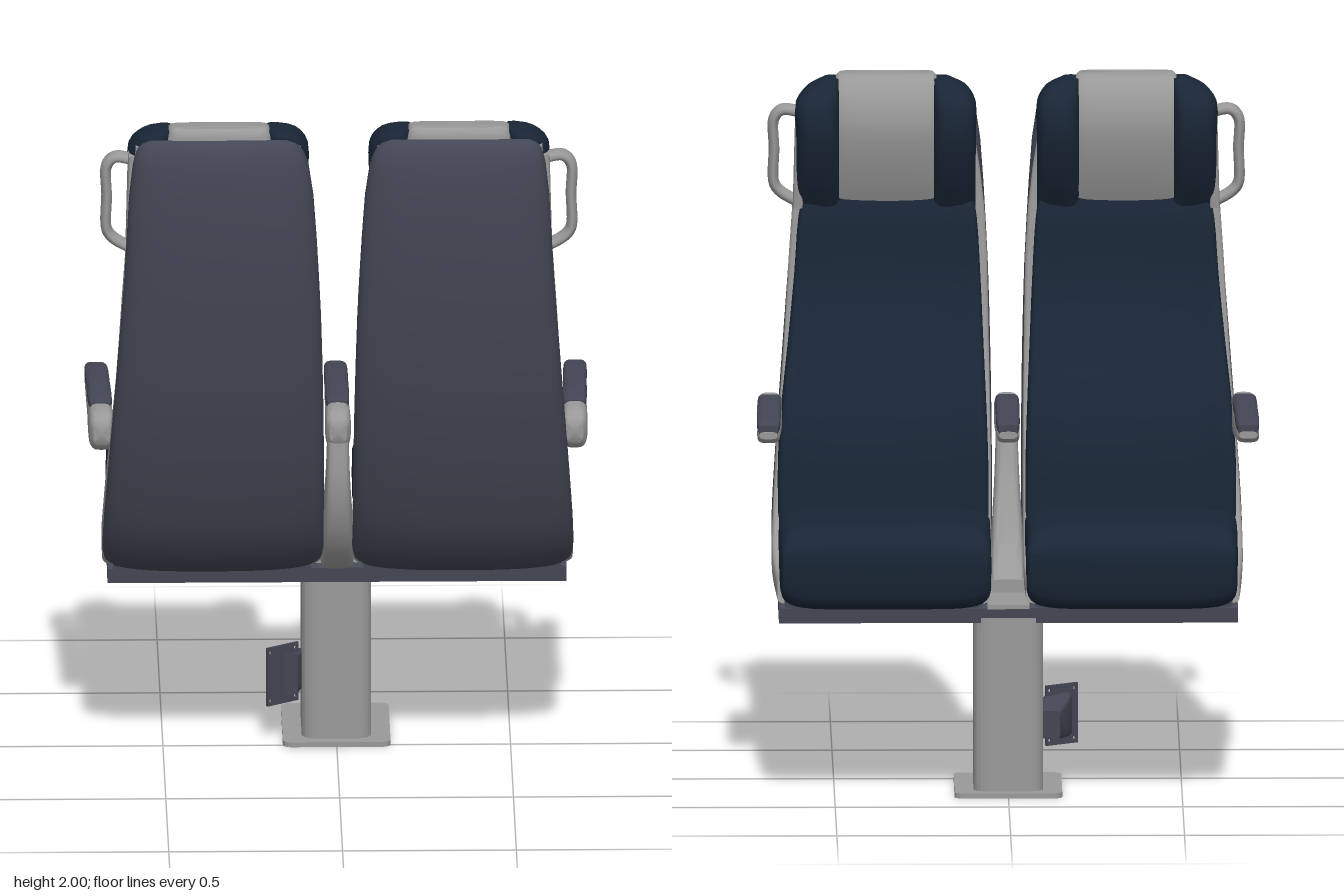
import * as THREE from 'three';
import { toCreasedNormals } from 'three/addons/utils/BufferGeometryUtils.js';

const material = (name, color) => {
  const m = new THREE.MeshStandardMaterial({ color });
  m.name = name;
  return m;
};

// Loft of rounded sections. Station: [z0, y0, z1, y1, xMin, xMax], where the
// section runs from (z0, y0) to (z1, y1) and is xMin..xMax wide.
function loft(stations, { side = 1, power = 5, dish = 0, steps = 3, seg = 36 } = {}) {
  const curve = (pick) => new THREE.CatmullRomCurve3(stations.map(pick), false, 'centripetal');
  const c0 = curve((s) => new THREE.Vector3(s[4], s[1], s[0]));
  const c1 = curve((s) => new THREE.Vector3(s[5], s[3], s[2]));
  const rows = (stations.length - 1) * steps;
  const pos = [], idx = [];
  const round = (v) => Math.sign(v) * Math.pow(Math.abs(v), 2 / power);
  for (let i = 0; i <= rows; i++) {
    const a = c0.getPoint(i / rows), b = c1.getPoint(i / rows);
    for (let j = 0; j < seg; j++) {
      const t = (j / seg) * Math.PI * 2;
      const u = round(Math.cos(t));
      let v = round(Math.sin(t));
      if (v > 0) v *= 1 - dish * (1 - u ** 4);
      const k = (v + 1) / 2;
      pos.push(side * ((a.x + b.x) / 2 + u * (b.x - a.x) / 2), a.y + (b.y - a.y) * k, a.z + (b.z - a.z) * k);
    }
  }
  for (let i = 0; i < rows; i++) {
    for (let j = 0; j < seg; j++) {
      const p = i * seg + j, q = i * seg + ((j + 1) % seg);
      idx.push(p, q, p + seg, q, q + seg, p + seg);
    }
  }
  // end caps
  for (const row of [0, rows]) {
    const c = pos.length / 3, mid = [0, 0, 0];
    for (let j = 0; j < seg; j++) for (let k = 0; k < 3; k++) mid[k] += pos[(row * seg + j) * 3 + k] / seg;
    pos.push(...mid);
    for (let j = 0; j < seg; j++) {
      const p = row * seg + j, q = row * seg + ((j + 1) % seg);
      idx.push(...(row === 0 ? [c, q, p] : [c, p, q]));
    }
  }
  // turn faces outward
  const P = (n) => new THREE.Vector3().fromArray(pos, n * 3);
  let volume = 0;
  for (let i = 0; i < idx.length; i += 3) volume += P(idx[i]).dot(P(idx[i + 1]).cross(P(idx[i + 2])));
  if (volume < 0) idx.reverse();
  const g = new THREE.BufferGeometry();
  g.setAttribute('position', new THREE.Float32BufferAttribute(pos, 3));
  g.setIndex(idx);
  return toCreasedNormals(g, 0.8);
}

// Upright block with rounded corners, centred at (x, z)
function roundedBlock(w, d, h, r, x, y, z) {
  const a = w / 2, b = d / 2, s = new THREE.Shape();
  s.moveTo(a, -b + r);
  s.absarc(a - r, b - r, r, 0, Math.PI / 2);
  s.absarc(-a + r, b - r, r, Math.PI / 2, Math.PI);
  s.absarc(-a + r, -b + r, r, Math.PI, Math.PI * 1.5);
  s.absarc(a - r, -b + r, r, Math.PI * 1.5, Math.PI * 2);
  const g = new THREE.ExtrudeGeometry(s, { depth: h, bevelEnabled: false, curveSegments: 8 });
  return toCreasedNormals(g.rotateX(-Math.PI / 2).translate(x, y, z), 0.6);
}

export function createModel() {
  const model = new THREE.Group();
  model.name = 'doubleSeat';
  const navy = material('navyFabric', 0x192636);
  const slate = material('slatePlastic', 0x434654);
  const gray = material('grayPlastic', 0x999999);
  const add = (parent, name, geometry, mat) => {
    const mesh = new THREE.Mesh(geometry, mat);
    mesh.name = name;
    parent.add(mesh);
  };

  for (const side of [1, -1]) {
    const seat = new THREE.Group();
    seat.name = side > 0 ? 'leftSeat' : 'rightSeat';
    model.add(seat);
    const part = (name, mat, stations, options) => add(seat, name, loft(stations, { side, ...options }), mat);

    part('shell', gray, [
      [0.415, 1.94, 0.36, 1.94, 0.11, 0.585],
      [0.425, 1.6, 0.345, 1.6, 0.062, 0.616],
      [0.4, 1.2, 0.28, 1.2, 0.05, 0.642],
      [0.325, 0.9, 0.15, 0.92, 0.045, 0.665],
      [0.24, 0.69, 0.07, 0.77, 0.045, 0.675],
      [0.14, 0.59, 0, 0.695, 0.045, 0.678],
      [0, 0.568, -0.09, 0.66, 0.045, 0.675],
      [-0.33, 0.562, -0.315, 0.648, 0.05, 0.665],
    ], { power: 9, dish: 0.6 });

    part('backPanel', slate, [
      [0.445, 1.968, 0.39, 1.955, 0.15, 0.545],
      [0.465, 1.95, 0.37, 1.94, 0.115, 0.575],
      [0.487, 1.89, 0.35, 1.89, 0.088, 0.594],
      [0.495, 1.55, 0.345, 1.55, 0.058, 0.618],
      [0.46, 1.2, 0.315, 1.22, 0.046, 0.643],
      [0.387, 0.9, 0.24, 0.93, 0.042, 0.665],
      [0.312, 0.71, 0.17, 0.76, 0.042, 0.676],
      [0.23, 0.61, 0.13, 0.69, 0.042, 0.676],
      [0.1, 0.558, 0.07, 0.63, 0.06, 0.66],
    ], { power: 2.7 });

    part('underPan', slate, [
      [0.08, 0.552, 0.08, 0.63, 0.075, 0.645],
      [-0.335, 0.552, -0.335, 0.63, 0.075, 0.645],
    ], { power: 12, steps: 1 });

    part('backCushion', navy, [
      [0.42, 1.64, 0.31, 1.64, 0.095, 0.585],
      [0.41, 1.58, 0.29, 1.58, 0.085, 0.598],
      [0.4, 1.42, 0.268, 1.42, 0.075, 0.61],
      [0.36, 1.22, 0.185, 1.22, 0.066, 0.63],
      [0.31, 1.04, 0.09, 1.04, 0.058, 0.65],
      [0.27, 0.92, 0.058, 0.92, 0.054, 0.658],
      [0.23, 0.8, 0.052, 0.8, 0.052, 0.66],
      [0.17, 0.69, 0.05, 0.69, 0.054, 0.658],
    ], { dish: 0.5, power: 7 });

    part('seatCushion', navy, [
      [0.17, 0.64, 0.17, 0.75, 0.065, 0.645],
      [0.08, 0.64, 0.08, 0.768, 0.052, 0.655],
      [0, 0.64, 0, 0.79, 0.05, 0.658],
      [-0.2, 0.63, -0.2, 0.805, 0.05, 0.66],
      [-0.33, 0.59, -0.33, 0.812, 0.05, 0.66],
      [-0.43, 0.565, -0.42, 0.812, 0.05, 0.658],
      [-0.47, 0.585, -0.475, 0.79, 0.052, 0.655],
      [-0.49, 0.66, -0.495, 0.75, 0.06, 0.65],
    ], { power: 6, dish: 0.08 });

    part('headrestCentre', gray, [
      [0.4, 1.62, 0.335, 1.62, 0.19, 0.5],
      [0.42, 1.72, 0.3, 1.7, 0.19, 0.5],
      [0.43, 1.85, 0.265, 1.85, 0.19, 0.5],
      [0.435, 1.94, 0.285, 1.94, 0.19, 0.5],
      [0.43, 1.985, 0.32, 1.985, 0.2, 0.49],
      [0.42, 1.997, 0.35, 1.995, 0.21, 0.48],
    ], { dish: 0.08 });

    for (const [name, inner, outer, tip] of [['innerWing', 0.21, 0.088, 0.115], ['outerWing', 0.48, 0.605, 0.57]]) {
      part(name, navy, [
        [0.39, 1.61, 0.325, 1.61, inner, outer],
        [0.4, 1.7, 0.278, 1.69, inner, outer],
        [0.4, 1.82, 0.23, 1.82, inner, outer],
        [0.41, 1.92, 0.24, 1.92, inner, outer],
        [0.42, 1.962, 0.28, 1.965, inner, tip],
        [0.41, 1.985, 0.32, 1.985, inner, (inner + tip) / 2],
      ], { power: 3 });
    }

    // grab handle beside the headrest, on a thin side plate
    part('handleMount', gray, [
      [0.4, 1.61, 0.315, 1.61, 0.585, 0.614],
      [0.41, 1.76, 0.3, 1.76, 0.582, 0.61],
      [0.41, 1.91, 0.285, 1.91, 0.575, 0.606],
    ], { power: 8 });
    const grip = new THREE.CatmullRomCurve3([
      [0.58, 1.885], [0.645, 1.895], [0.668, 1.87], [0.668, 1.78], [0.668, 1.68], [0.65, 1.655], [0.6, 1.625],
    ].map(([x, y]) => new THREE.Vector3(side * x, y, 0)));
    add(seat, 'grabHandle', new THREE.TubeGeometry(grip, 40, 0.016, 10)
      .scale(1, 1, 2.4).rotateX(-0.04).translate(0, 0, 0.43), gray);
  }

  // armrests: two outer ones splayed slightly, one in the middle
  const armrest = (name, side, x0, x1) => {
    const arm = new THREE.Group();
    arm.name = name;
    model.add(arm);
    const rows = (list) => list.map(([z, low, high, half]) => {
      const x = THREE.MathUtils.lerp(x0, x1, (0.27 - z) / 0.54);
      return [z, low, z, high, x - half, x + half];
    });
    add(arm, 'armrestBody', loft(rows([
      [0.275, 1.0, 1.06, 0.025], [0.25, 0.975, 1.085, 0.035], [0.14, 0.968, 1.088, 0.036],
      [0.04, 0.982, 1.075, 0.034], [-0.18, 1.012, 1.066, 0.033], [-0.25, 1.022, 1.062, 0.031],
      [-0.27, 1.035, 1.055, 0.025],
    ]), { side, power: 3.5 }), gray);
    add(arm, 'armrestPad', loft(rows([
      [0.17, 1.07, 1.093, 0.03], [0.12, 1.06, 1.1, 0.034], [-0.05, 1.055, 1.097, 0.034],
      [-0.22, 1.048, 1.086, 0.033], [-0.268, 1.045, 1.075, 0.028],
    ]), { side, power: 4 }), slate);
  };
  armrest('leftArmrest', 1, 0.68, 0.69);
  armrest('rightArmrest', -1, 0.68, 0.69);
  armrest('centreArmrest', 1, 0, 0);

  // post carrying the middle armrest
  add(model, 'centrePost', loft([
    [0.27, 1.03, 0.17, 1.03, -0.03, 0.03],
    [0.28, 0.85, 0.12, 0.88, -0.035, 0.035],
    [0.22, 0.68, 0.04, 0.74, -0.044, 0.044],
    [0.1, 0.565, -0.04, 0.64, -0.048, 0.048],
    [-0.12, 0.555, -0.12, 0.6, -0.048, 0.048],
  ]), gray);
  add(model, 'mountingPlate', new THREE.BoxGeometry(0.12, 0.012, 0.37).translate(0, 0.557, -0.16), gray);

  // cross beam with a shallow channel underneath
  const beam = new THREE.Shape([
    [-0.04, 0.505], [0.08, 0.505], [0.09, 0.515], [0.18, 0.515], [0.19, 0.505], [0.31, 0.505],
    [0.31, 0.548], [0.3, 0.558], [-0.03, 0.558], [-0.04, 0.548],
  ].map(([x, y]) => new THREE.Vector2(x, y)));
  add(model, 'crossBeam', new THREE.ExtrudeGeometry(beam, { depth: 1.32, bevelEnabled: false })
    .rotateY(Math.PI / 2).translate(-0.66, 0, 0), slate);

  // pedestal
  add(model, 'column', roundedBlock(0.2, 0.3, 0.51, 0.04, 0, 0.01, -0.165), gray);
  add(model, 'basePlate', roundedBlock(0.31, 0.37, 0.015, 0.025, 0, 0, -0.165), gray);

  // socket box beside the column, with a drilled face plate turned outward
  add(model, 'socketBox', loft([
    [-0.055, 0.135, -0.055, 0.26, -0.185, -0.11],
    [-0.12, 0.14, -0.12, 0.25, -0.175, -0.09],
    [-0.2, 0.15, -0.2, 0.23, -0.15, -0.08],
  ], { power: 10 }), slate);
  const plate = new THREE.Shape([[-0.055, 0.11], [0.055, 0.11], [0.055, 0.285], [-0.055, 0.285]]
    .map(([x, y]) => new THREE.Vector2(x, y)));
  for (const x of [-0.044, 0.044]) {
    for (const y of [0.125, 0.27]) plate.holes.push(new THREE.Path().absarc(x, y, 0.006, 0, Math.PI * 2, true));
  }
  add(model, 'socketPlate', new THREE.ExtrudeGeometry(plate, { depth: 0.009, bevelEnabled: false, curveSegments: 6 })
    .rotateY(0.62).translate(-0.158, 0, -0.06), slate);

  return model;
}
